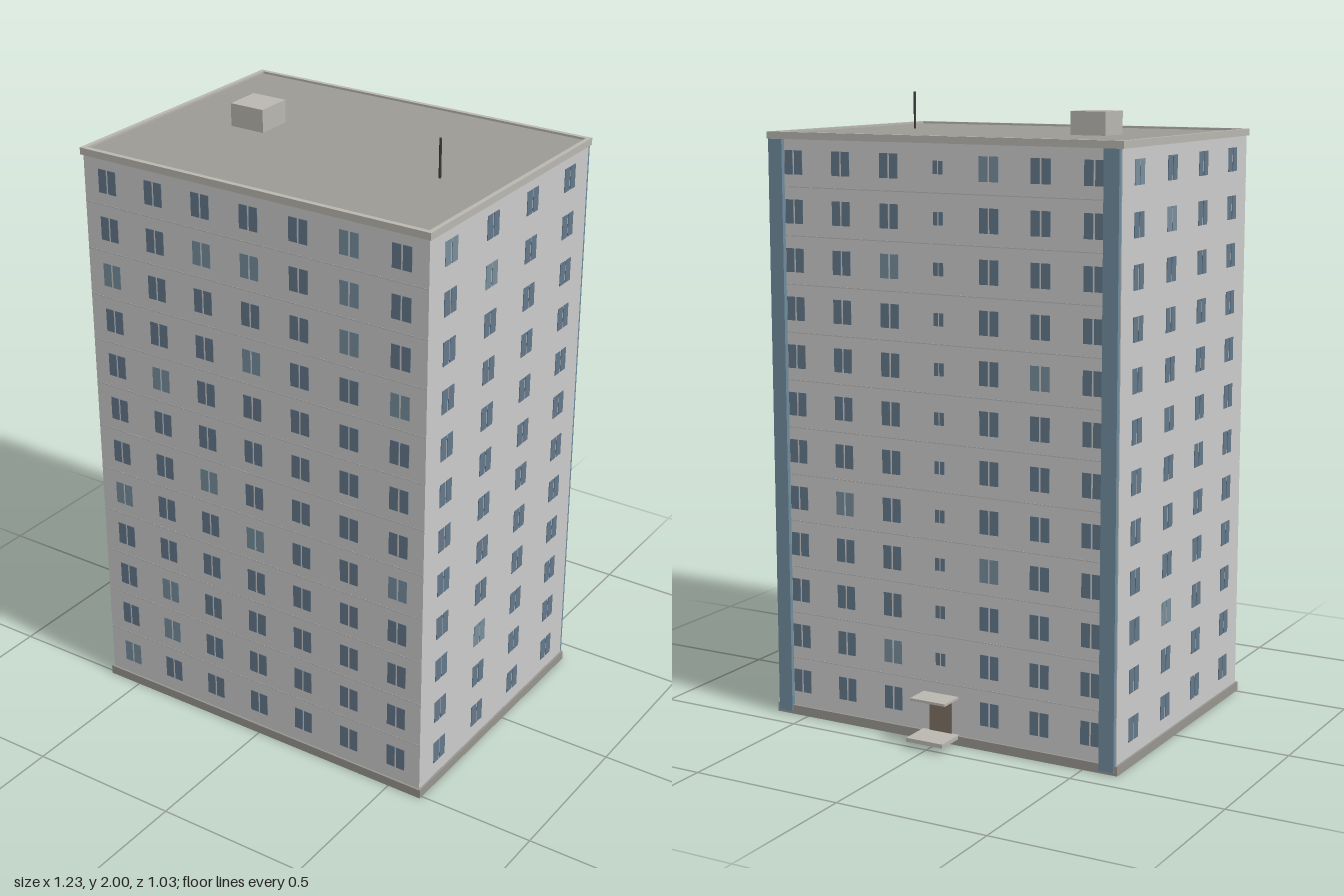
import * as THREE from 'three';
import { mergeGeometries } from 'three/addons/utils/BufferGeometryUtils.js';

const FLOORS = 12, FLOOR_H = 0.1525, FIRST_Y = 0.115;
const X = 0.61, Z0 = -0.41, Z1 = 0.505, ZC = (Z0 + Z1) / 2;

const mat = (color) => new THREE.MeshStandardMaterial({ color });
const wallMat = mat(0xcccccc), trimMat = mat(0xb9b7b0), plinthMat = mat(0x97958f);
const roofMat = mat(0x9c9a94), seamMat = mat(0xb8b8b8), darkMat = mat(0x3a3a3a);
const glassMat = mat(0x64788a), paleGlassMat = mat(0x788e9c);
const stripMat = mat(0x6f8c9e), doorMat = mat(0x7d6f64);

// box geometry from minimum and maximum corners
function boxGeo(x0, x1, y0, y1, z0, z1) {
  return new THREE.BoxGeometry(x1 - x0, y1 - y0, z1 - z0)
    .translate((x0 + x1) / 2, (y0 + y1) / 2, (z0 + z1) / 2);
}

// columns and floors of the front whose windows are paler
const PALE_FRONT = ['11,5', '10,2', '10,3', '10,5', '9,0', '9,5', '8,3', '8,6', '7,1', '5,2',
  '4,0', '4,3', '4,6', '2,1', '1,1', '0,0'];
const PALE_SIDE = ['11,0', '10,1', '2,1'];
const PALE_BACK = ['11,4', '9,2', '7,5', '4,1', '3,4', '1,2'];

export function createModel() {
  const model = new THREE.Group();
  model.name = 'apartmentBlock';
  const add = (name, geo, material, parent = model) => {
    const mesh = new THREE.Mesh(geo, material);
    mesh.name = name;
    parent.add(mesh);
    return mesh;
  };

  // main volume and base
  add('walls', boxGeo(-X, X, 0.03, 1.866, Z0, Z1), wallMat);
  add('plinth', boxGeo(-0.617, 0.617, 0, 0.03, -0.418, 0.512), plinthMat);

  // roof slab with a low parapet around it
  add('roof', boxGeo(-0.602, 0.602, 1.866, 1.879, -0.403, 0.495), roofMat);
  const rim = new THREE.Shape([
    new THREE.Vector2(-0.617, -0.512), new THREE.Vector2(0.617, -0.512),
    new THREE.Vector2(0.617, 0.418), new THREE.Vector2(-0.617, 0.418)]);
  rim.holes.push(new THREE.Path([
    new THREE.Vector2(-0.602, -0.495), new THREE.Vector2(-0.602, 0.403),
    new THREE.Vector2(0.602, 0.403), new THREE.Vector2(0.602, -0.495)]));
  add('parapet', new THREE.ExtrudeGeometry(rim, { depth: 0.022, bevelEnabled: false })
    .rotateX(-Math.PI / 2).translate(0, 1.864, 0), trimMat);

  // roof hut and antenna
  add('roofHut', boxGeo(-0.37, -0.25, 1.875, 1.952, -0.035, 0.085), trimMat);
  add('antenna', new THREE.CylinderGeometry(0.004, 0.004, 0.124, 8).translate(0.405, 1.938, 0.12), darkMat);

  // one facade: rows of paired panes laid out facing +z, then turned into place
  function facade(name, columns, pale, angle, x, z, isSmall = () => false) {
    const group = new THREE.Group();
    group.name = name;
    const clear = [], light = [];
    for (let floor = 0; floor < FLOORS; floor++) {
      columns.forEach((cx, col) => {
        const small = isSmall(col);
        if (small && floor === 0) return; // the entrance is here
        const y = FIRST_Y + floor * FLOOR_H;
        const w = small ? 0.015 : 0.0295, h = small ? 0.04 : 0.075, gap = small ? 0.004 : 0.006;
        for (const side of [-1, 1]) {
          const pane = new THREE.BoxGeometry(w, h, 0.004)
            .translate(cx + side * (w + gap) / 2, y, 0);
          (pale.includes(`${floor},${col}`) ? light : clear).push(pane);
        }
      });
    }
    add('windows', mergeGeometries(clear), glassMat, group);
    add('paleWindows', mergeGeometries(light), paleGlassMat, group);
    group.rotation.y = angle;
    group.position.set(x, 0, z);
    model.add(group);
  }
  const wide = [-3, -2, -1, 0, 1, 2, 3].map((i) => i * 0.174);
  const sideColumns = [-1.5, -0.5, 0.5, 1.5].map((i) => i * 0.229);
  facade('frontFacade', wide, PALE_FRONT, 0, 0, Z1);
  facade('backFacade', wide, PALE_BACK, Math.PI, 0, Z0, (col) => col === 3);
  facade('leftFacade', sideColumns, PALE_SIDE, Math.PI / 2, X, ZC);
  facade('rightFacade', sideColumns, PALE_SIDE, -Math.PI / 2, -X, ZC);

  // panel seams between the floors on front and back
  const seams = [];
  for (let i = 1; i < FLOORS; i++) {
    const y = FIRST_Y - FLOOR_H / 2 + i * FLOOR_H;
    for (const z of [Z0, Z1]) seams.push(boxGeo(-X, X, y - 0.0015, y + 0.0015, z - 0.001, z + 0.001));
  }
  add('floorSeams', mergeGeometries(seams), seamMat);

  // blue corner strips on the back
  for (const s of [-1, 1]) {
    add(s > 0 ? 'leftCornerStrip' : 'rightCornerStrip',
      boxGeo(s * 0.582 - 0.025, s * 0.582 + 0.025, 0.01, 1.864, -0.424, Z0 + 0.005), stripMat);
  }

  // back entrance
  const entrance = new THREE.Group();
  entrance.name = 'entrance';
  add('door', boxGeo(-0.04, 0.04, 0.03, 0.14, Z0 - 0.004, Z0 + 0.005), doorMat, entrance);
  add('canopy', boxGeo(-0.063, 0.063, 0.148, 0.156, -0.493, Z0), trimMat, entrance);
  add('landing', boxGeo(-0.065, 0.065, 0.02, 0.033, -0.513, Z0), trimMat, entrance);
  model.add(entrance);

  return model;
}
